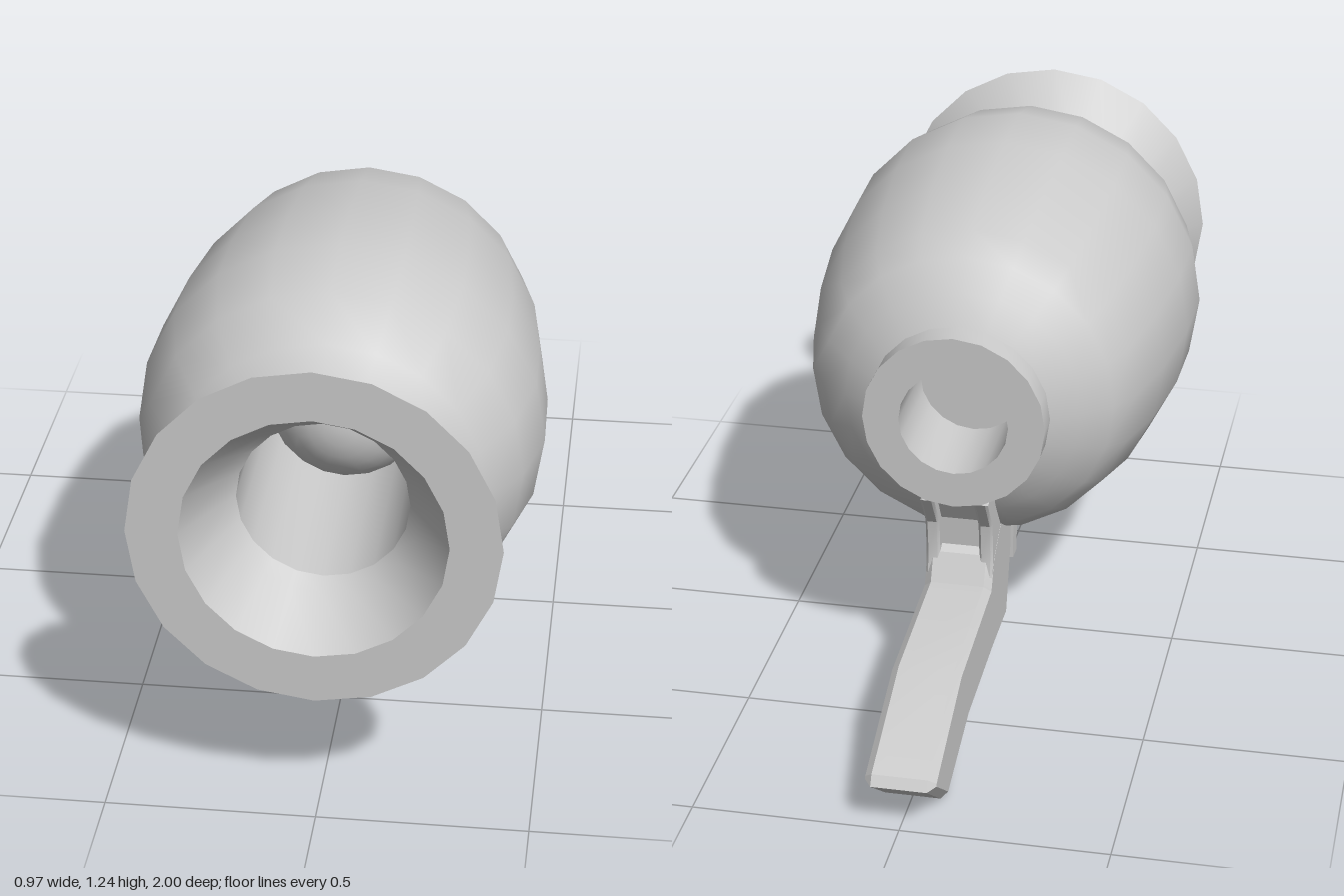
import * as THREE from 'three';
import { toCreasedNormals } from 'three/addons/utils/BufferGeometryUtils.js';

const AXIS_Y = 0.755;

export function createModel() {
  const model = new THREE.Group();
  const grey = new THREE.MeshStandardMaterial({ color: 0xcccccc });

  function add(name, geometry) {
    const mesh = new THREE.Mesh(geometry, grey);
    mesh.name = name;
    model.add(mesh);
    return mesh;
  }

  // Round part about the barrel axis, from [radius, z] pairs
  function turned(name, profile, crease) {
    let g = new THREE.LatheGeometry(profile.map(([r, z]) => new THREE.Vector2(r, z)), 20);
    g.rotateX(Math.PI / 2);
    if (crease) g = toCreasedNormals(g, crease);
    g.translate(0, AXIS_Y, 0);
    return add(name, g);
  }

  // Flat part cut from a [z, y] side outline, centred on x, with bevelled edges
  function slab(name, outline, width, bevel = 0, x = 0) {
    const shape = new THREE.Shape(outline.map(([z, y]) => new THREE.Vector2(z, y)));
    const depth = width - 2 * bevel;
    const g = new THREE.ExtrudeGeometry(shape, {
      depth, bevelEnabled: bevel > 0, bevelThickness: bevel,
      bevelSize: bevel, bevelOffset: -bevel, bevelSegments: 1,
    });
    g.translate(0, 0, -depth / 2);
    g.rotateY(-Math.PI / 2);
    g.translate(x, 0, 0);
    return add(name, toCreasedNormals(g, 0.4));
  }

  // Barrel-shaped body
  turned('body', [
    [0.2, -0.305], [0.225, -0.3], [0.295, -0.255], [0.365, -0.2], [0.408, -0.13],
    [0.452, 0.05], [0.48, 0.28], [0.485, 0.48], [0.445, 0.65], [0.37, 0.76], [0.285, 0.81],
  ]);

  // Flared muzzle: outside, front rim, then the inner cone and bore
  turned('muzzle', [
    [0.285, 0.79], [0.285, 0.86], [0.425, 1], [0.305, 1], [0.225, 0.86], [0.2, 0.82], [0.2, 0.3],
  ], 0.4);

  // Rounded plug at the bottom of the bore
  const dome = new THREE.SphereGeometry(0.2, 20, 8, 0, Math.PI * 2, 0, Math.PI / 2);
  dome.rotateX(Math.PI / 2);
  dome.translate(0, AXIS_Y, 0.3);
  add('borePlug', dome);

  // Rear collar with its blind hole
  turned('rearCollar', [
    [0, -0.12], [0.135, -0.12], [0.135, -0.37], [0.225, -0.37], [0.225, -0.29],
  ], 0.4);

  // Bent rear grip
  slab('grip', [
    [-0.05, 0.36], [-0.05, 0.27], [-0.11, 0.09], [-0.3, 0.09], [-0.6, 0.075], [-0.85, 0.003],
    [-1, 0.115], [-0.985, 0.14], [-0.69, 0.26], [-0.33, 0.29], [-0.295, 0.36], [-0.2, 0.42],
  ], 0.17, 0.018);

  // Neck joining grip and collar: recessed core between two cheeks
  slab('neckCore', [
    [-0.1, 0.32], [-0.27, 0.31], [-0.28, 0.45], [-0.34, 0.55], [-0.2, 0.55],
  ], 0.12);
  for (const side of [-1, 1]) {
    slab('neckCheek', [
      [-0.08, 0.32], [-0.31, 0.3], [-0.3, 0.36], [-0.31, 0.45], [-0.37, 0.54], [-0.2, 0.55],
    ], 0.035, 0.006, side * 0.067);
  }

  // Curved strap beneath the body
  slab('strap', [
    [0.84, 0.48], [0.8, 0.4], [0.7, 0.31], [0.6, 0.255], [0.18, 0.207], [0.13, 0.235],
    [-0.07, 0.27], [-0.07, 0.36], [0.3, 0.31], [0.6, 0.34], [0.76, 0.48],
  ], 0.11, 0.018);

  // Square catch hanging from the strap
  slab('catch', [[0.18, 0.125], [0.13, 0.125], [0.13, 0.26], [0.18, 0.26]], 0.11);

  // Small curved trigger ahead of the grip
  slab('trigger', [
    [0.07, 0.25], [0.04, 0.22], [0, 0.2], [-0.09, 0.182], [-0.09, 0.29], [-0.05, 0.275],
  ], 0.05);

  return model;
}
